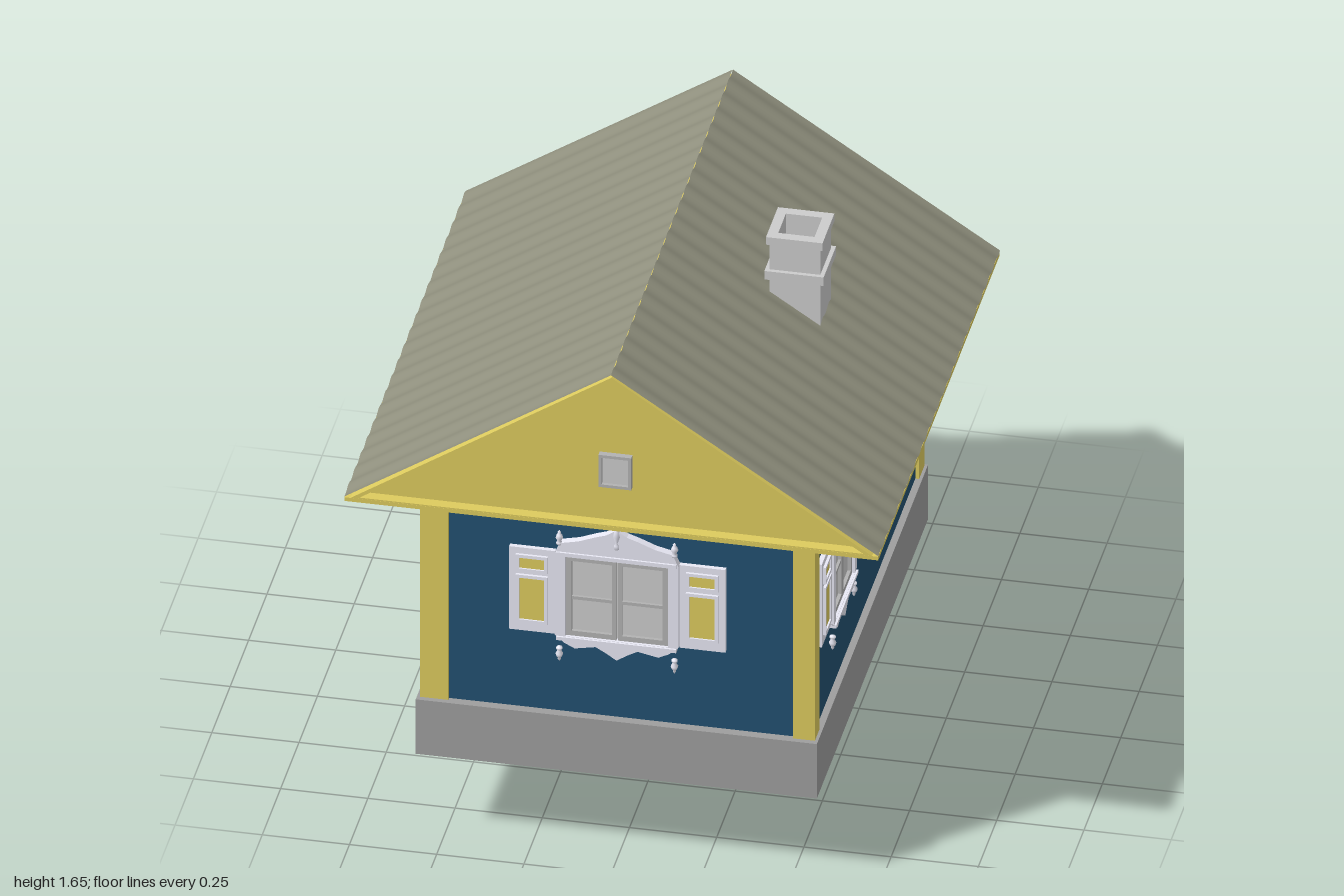
import * as THREE from 'three';

const mat = (color, side = THREE.FrontSide) => new THREE.MeshStandardMaterial({ color, side });
const GREY = mat(0xcccccc), STONE = mat(0x9e9e9e), BLUE = mat(0x225070), YELLOW = mat(0xddcb5e);
const BROWN = mat(0x644940), GREEN = mat(0x0d2a16), WHITE = mat(0xe8e8f4), SASH = mat(0xb2b2b2);
const SHEET = mat(0x8f8f7d, THREE.DoubleSide);

function add(parent, name, geo, material, x = 0, y = 0, z = 0) {
  const m = new THREE.Mesh(geo, material);
  m.name = name;
  m.position.set(x, y, z);
  parent.add(m);
  return m;
}

// box given by its limits on each axis
function block(parent, name, material, [x0, x1], [y0, y1], [z0, z1]) {
  return add(parent, name, new THREE.BoxGeometry(x1 - x0, y1 - y0, z1 - z0), material,
    (x0 + x1) / 2, (y0 + y1) / 2, (z0 + z1) / 2);
}

const poly = (pts) => new THREE.Shape(pts.map(([x, y]) => new THREE.Vector2(x, y)));
const extrude = (shape, depth) => new THREE.ExtrudeGeometry(shape, { depth, bevelEnabled: false });
const rect = (x0, x1, y0, y1) => [[x0, y0], [x1, y0], [x1, y1], [x0, y1]];

// flat frame: outline with one opening
function frame(parent, name, material, outer, inner, z, depth) {
  const s = poly(outer);
  s.holes.push(poly(inner));
  return add(parent, name, extrude(s, depth), material, 0, 0, z);
}

// corrugated sheet: u along the waves, v down the slope from a to b, given as [offset, height]
function corrugated(length, a, b, period, amp) {
  const n = Math.round(length / period) * 8;
  const g = new THREE.PlaneGeometry(1, 1, n, 1), p = g.attributes.position;
  for (let i = 0; i < p.count; i++) {
    const u = p.getX(i) * length, t = 0.5 - p.getY(i);
    p.setXYZ(i, u, a[1] + (b[1] - a[1]) * t + amp * Math.sin((u / period) * Math.PI * 2), a[0] + (b[0] - a[0]) * t);
  }
  g.computeVertexNormals();
  return g;
}

// turned ornament, 0.05 tall
const FINIAL = new THREE.LatheGeometry([[0, 0], [0.009, 0.004], [0.009, 0.01], [0.005, 0.014], [0.011, 0.025],
  [0.008, 0.034], [0.004, 0.039], [0.005, 0.043], [0, 0.05]].map(([x, y]) => new THREE.Vector2(x, y)), 10);

// carved window with shutters; faces +z, heights are those of the house
function createWindow(width) {
  const g = new THREE.Group();
  g.name = 'window';
  const half = [[0, 0.66], [0.03, 0.68], [0.06, 0.697], [0.12, 0.685], [0.15, 0.70], [0.178, 0.725], [0.178, 0.99],
    [0.162, 1.028], [0.11, 1.04], [0.06, 1.06], [0.03, 1.07], [0, 1.09]];
  const outline = [...half, ...half.slice(1, -1).reverse().map(([x, y]) => [-x, y])];
  frame(g, 'casing', WHITE, outline, rect(-0.147, 0.147, 0.722, 0.984), 0, 0.024);
  block(g, 'headerMoulding', WHITE, [-0.172, 0.172], [0.988, 1.0], [0, 0.03]);
  block(g, 'sill', WHITE, [-0.172, 0.172], [0.71, 0.721], [0, 0.03]);
  block(g, 'glass', GREY, [-0.147, 0.147], [0.722, 0.984], [0, 0.006]);
  for (const s of [-1, 1]) {
    // sash with two panes
    const span = (a, b) => (s > 0 ? [a, b] : [-b, -a]);
    frame(g, 'sash', SASH, rect(...span(0.002, 0.147), 0.722, 0.984), rect(...span(0.014, 0.13), 0.738, 0.968), 0.004, 0.012);
    block(g, 'glazingBar', SASH, span(0.014, 0.13), [0.841, 0.851], [0.004, 0.014]);
    // shutter with two yellow panels
    block(g, 'shutter', WHITE, span(0.178, 0.31), [0.72, 0.993], [0, 0.014]);
    for (const [y0, y1] of [[0.75, 0.907], [0.918, 0.973]]) {
      frame(g, 'panelMoulding', WHITE, rect(...span(0.198, 0.29), y0, y1), rect(...span(0.208, 0.28), y0 + 0.01, y1 - 0.01), 0.012, 0.01);
      block(g, 'shutterPanel', YELLOW, span(0.208, 0.28), [y0 + 0.01, y1 - 0.01], [0.01, 0.017]);
    }
    add(g, 'topFinial', FINIAL, WHITE, s * 0.165, 1.018, 0.018);
    add(g, 'pendant', FINIAL, WHITE, s * 0.165, 0.685, 0.018).rotation.x = Math.PI;
  }
  add(g, 'centreFinial', FINIAL, WHITE, 0, 1.02, 0.02).scale.y = 1.95;
  g.scale.x = width / 0.62;
  return g;
}

function createRoof() {
  const g = new THREE.Group();
  g.name = 'roof';
  const zMid = 0.172, len = 1.655;
  for (const s of [-1, 1]) {
    const sheet = add(g, 'roofSlope', corrugated(len, [0, 1.648], [0.766, 1.148], 0.0827, 0.004), SHEET, 0, 0, zMid);
    sheet.rotation.y = s * Math.PI / 2;
  }
  block(g, 'soffit', YELLOW, [-0.765, 0.765], [1.133, 1.145], [zMid - len / 2 + 0.002, zMid + len / 2 - 0.002]);
  const tri = (w, y0, y1) => [[-w, y0], [w, y0], [0, y1]];
  add(g, 'gable', extrude(poly(tri(0.735, 1.14, 1.625)), 1.585), YELLOW, 0, 0, -0.62);
  for (const z of [-0.653, 0.963]) {
    frame(g, 'bargeBoards', YELLOW, tri(0.752, 1.142, 1.638), tri(0.722, 1.149, 1.622), z, 0.034);
  }
  // attic windows on both gables
  for (const [z, turn] of [[0.965, 0], [-0.62, Math.PI]]) {
    const w = new THREE.Group();
    w.name = 'atticWindow';
    frame(w, 'atticFrame', SASH, rect(-0.047, 0.047, 1.264, 1.37), rect(-0.038, 0.038, 1.273, 1.361), 0, 0.018);
    block(w, 'atticPane', GREY, [-0.038, 0.038], [1.273, 1.361], [0, 0.008]);
    w.position.set(turn ? 0 : 0.007, 0, z);
    w.rotation.y = turn;
    g.add(w);
  }
  return g;
}

function createChimney() {
  const g = new THREE.Group();
  g.name = 'chimney';
  // hollow square rings stacked upwards: half width, bottom, top
  const ring = (name, w, y0, y1) => {
    const m = frame(g, name, GREY, rect(-w, w, -w, w), rect(-0.052, 0.052, -0.052, 0.052), 0, y1 - y0);
    m.rotation.x = -Math.PI / 2;
    m.position.y = y0;
  };
  ring('stack', 0.073, 1.36, 1.63);
  ring('band', 0.085, 1.507, 1.535);
  ring('cap', 0.081, 1.62, 1.645);
  block(g, 'flueBottom', GREY, [-0.055, 0.055], [1.37, 1.5], [-0.055, 0.055]);
  g.position.set(0.354, 0, 0.108);
  return g;
}

function createPorch() {
  const g = new THREE.Group();
  g.name = 'porch';
  // overlapping stair blocks
  for (let i = 0; i < 4; i++) {
    const z = -0.565 - i * 0.109, y = 0.462 - i * 0.054;
    block(g, 'step', BROWN, [-0.192, 0.197], [y - 0.276, y], [z - 0.109, z]);
  }
  for (const x of [-0.207, 0.213]) {
    block(g, 'post', BROWN, [x - 0.014, x + 0.014], [0, 0.985], [-0.85, -0.82]);
    block(g, 'handrail', BROWN, [x - 0.011, x + 0.011], [0.637, 0.665], [-0.825, -0.57]);
  }
  block(g, 'frontBeam', BROWN, [-0.235, 0.24], [0.957, 0.985], [-0.848, -0.822]);
  block(g, 'wallBeam', BROWN, [-0.235, 0.24], [1.01, 1.04], [-0.597, -0.565]);
  add(g, 'canopy', corrugated(0.535, [-0.57, 1.058], [-0.895, 0.977], 0.067, 0.006), SHEET, 0.003);
  // door, its surround and handle
  block(g, 'door', GREEN, [-0.18, 0.18], [0.46, 0.95], [-0.576, -0.56]);
  frame(g, 'doorFrame', GREEN, rect(-0.2, 0.2, 0.46, 0.97), rect(-0.175, 0.175, 0.465, 0.945), -0.584, 0.02);
  for (const [y0, y1] of [[0.5, 0.68], [0.73, 0.91]]) {
    for (const x of [-0.08, 0.08]) block(g, 'doorPanel', GREEN, [x - 0.06, x + 0.06], [y0, y1], [-0.581, -0.57]);
  }
  for (const y of [0.767, 0.797]) block(g, 'handleMount', GREY, [-0.163, -0.155], [y, y + 0.008], [-0.605, -0.57]);
  block(g, 'handle', GREY, [-0.163, -0.155], [0.767, 0.805], [-0.607, -0.6]);
  return g;
}

export function createModel() {
  const house = new THREE.Group();
  house.name = 'house';
  block(house, 'foundation', STONE, [-0.575, 0.575], [0.28, 0.46], [-0.583, 0.93]);
  block(house, 'walls', BLUE, [-0.555, 0.555], [0.46, 1.135], [-0.568, 0.903]);
  // corner boards
  for (const x of [[-0.566, -0.485], [0.503, 0.566]]) {
    for (const z of [[0.85, 0.914], [-0.578, -0.503]]) block(house, 'cornerBoard', YELLOW, x, [0.46, 1.134], z);
  }
  // one front window, two on each side
  const front = createWindow(0.62);
  front.position.z = 0.903;
  house.add(front);
  for (const s of [-1, 1]) {
    for (const z of [0.561, -0.252]) {
      const w = createWindow(0.545);
      w.rotation.y = s * Math.PI / 2;
      w.position.set(s * 0.555, 0, z);
      house.add(w);
    }
  }
  house.add(createRoof(), createChimney(), createPorch());
  return house;
}
